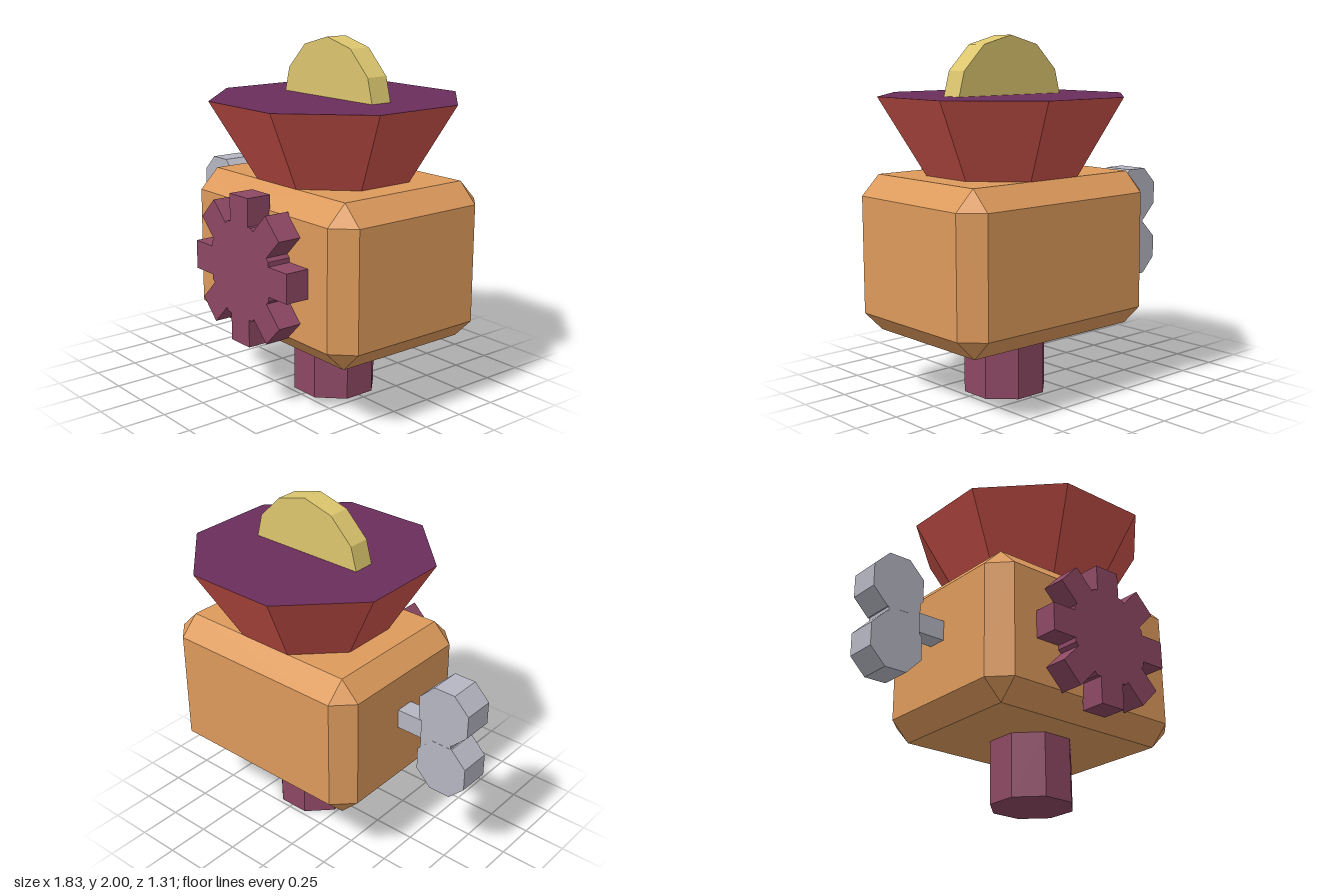
import * as THREE from 'three';
import { ConvexGeometry } from 'three/addons/geometries/ConvexGeometry.js';

const FLAT = Math.cos(Math.PI / 8); // flat-to-corner ratio of an octagon
const CX = 0.24;                    // centre line of the body

const colour = (name, color) => {
  const m = new THREE.MeshStandardMaterial({ color, flatShading: true });
  m.name = name;
  return m;
};

// Octagonal frustum with flat sides on the axes; radii measured to the flats
const octagon = (top, bottom, height) =>
  new THREE.CylinderGeometry(top / FLAT, bottom / FLAT, height, 8, 1, false, Math.PI / 8);

// Box with every edge cut at 45 degrees and triangular corners
function chamferedBox(hx, hy, hz, c) {
  const points = [];
  for (const x of [-1, 1]) for (const y of [-1, 1]) for (const z of [-1, 1]) {
    points.push(
      new THREE.Vector3(x * hx, y * (hy - c), z * (hz - c)),
      new THREE.Vector3(x * (hx - c), y * hy, z * (hz - c)),
      new THREE.Vector3(x * (hx - c), y * (hy - c), z * hz));
  }
  return new ConvexGeometry(points);
}

// Octagonal core with eight square teeth
function gearGeometry(core, outer, halfTooth, depth) {
  const pts = [];
  for (let k = 0; k < 8; k++) {
    const a = k * Math.PI / 4;
    const corner = core * Math.tan(Math.PI / 8);
    for (const [r, t] of [[core, -halfTooth], [outer, -halfTooth], [outer, halfTooth], [core, halfTooth], [core, corner]]) {
      pts.push(new THREE.Vector2(r, t).rotateAround(new THREE.Vector2(), a));
    }
  }
  return new THREE.ExtrudeGeometry(new THREE.Shape(pts), { depth, bevelEnabled: false });
}

export function createModel() {
  const model = new THREE.Group();
  model.name = 'windUpMachine';

  const orange = colour('orange', 0xdd9a5c);
  const red = colour('red', 0xcc524a);
  const purple = colour('purple', 0x6b2d5c);
  const plum = colour('plum', 0x8d4863);
  const yellow = colour('yellow', 0xdcc66e);
  const grey = colour('grey', 0xb6b6c3);

  const add = (name, geometry, material, x, y, z, parent = model) => {
    const mesh = new THREE.Mesh(geometry, material);
    mesh.name = name;
    mesh.position.set(x, y, z);
    parent.add(mesh);
    return mesh;
  };

  // Body and its stem
  add('body', chamferedBox(0.67, 0.44, 0.522, 0.112), orange, CX, 0.802, -0.003);
  add('stem', octagon(0.222, 0.222, 0.38), plum, CX, 0.19, -0.003);

  // Hopper: sloped red sides, flat purple top
  add('hopper', octagon(0.653, 0.41, 0.435), [red, purple, red], CX, 1.4575, -0.003);

  // Coin standing half sunk in the hopper
  const coin = new THREE.CylinderGeometry(0.38, 0.38, 0.13, 12).rotateX(Math.PI / 2);
  add('coin', coin, yellow, CX, 1.62, -0.003);

  // Gear on the front
  add('gear', gearGeometry(0.254, 0.406, 0.08, 0.146), plum, CX, 0.807, 0.51);

  // Winding key on the right side
  const key = new THREE.Group();
  key.name = 'windingKey';
  key.position.set(0, 0.86, -0.005);
  model.add(key);
  add('keyShaft', new THREE.BoxGeometry(0.3, 0.115, 0.115), grey, -0.53, 0, 0, key);
  add('keyHub', new THREE.BoxGeometry(0.2, 0.18, 0.188), grey, -0.715, 0, 0, key);
  for (const side of [-1, 1]) {
    const lobe = octagon(0.159, 0.159, 0.19).rotateX(Math.PI / 2);
    add(side > 0 ? 'keyUpperLobe' : 'keyLowerLobe', lobe, grey, -0.757, side * 0.171, 0, key);
  }

  return model;
}
